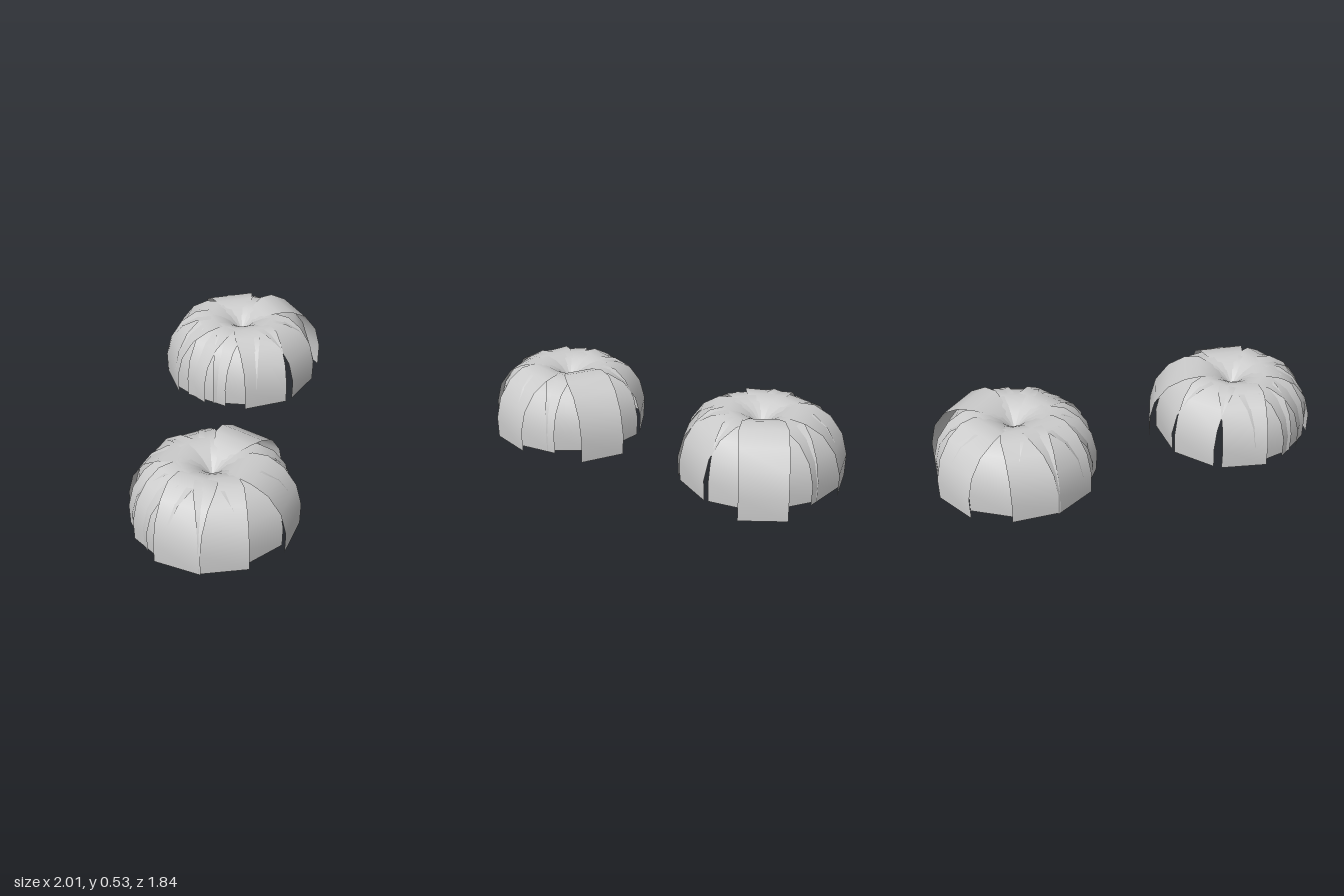
import * as THREE from 'three';

const material = new THREE.MeshStandardMaterial({ color: 0xcccccc, side: THREE.DoubleSide });

// Bent strip: [distance from centre, height above the dimple, width]
const PROFILE = [
  [0, 0, 0.002], [0.03, 0.035, 0.04], [0.07, 0.075, 0.09], [0.12, 0.104, 0.16],
  [0.18, 0.12, 0.23], [0.26, 0.11, 0.265], [0.35, 0.058, 0.265],
  [0.42, -0.04, 0.265], [0.45, -0.16, 0.265], [0.445, -0.285, 0.265],
];

// Each petal: [direction in degrees, reach at the hem]
const PETALS = [
  [-13.7, 0.484], [10, 0.42], [38, 0.43], [62.3, 0.452], [93, 0.42], [123.9, 0.442],
  [155.5, 0.445], [181, 0.43], [197.8, 0.425], [222, 0.418], [247, 0.435],
  [-73.2, 0.433], [-36, 0.428],
];

const DIMPLE_HEIGHT = 0.31;

function petalGeometry(reach) {
  const s = reach / 0.445;
  const positions = [], index = [];
  PROFILE.forEach(([r, y, w], i) => {
    positions.push(r * s, y * s, -w / 2, r * s, y * s, w / 2);
    if (i > 0) {
      const a = 2 * (i - 1);
      index.push(a, a + 1, a + 2, a + 1, a + 3, a + 2);
    }
  });
  const geometry = new THREE.BufferGeometry();
  geometry.setAttribute('position', new THREE.Float32BufferAttribute(positions, 3));
  geometry.setIndex(index);
  geometry.computeVertexNormals();
  return geometry;
}

// Ring of overlapping petals; side = -1 mirrors the arrangement front to back
function petalDome(name, side) {
  const dome = new THREE.Group();
  dome.name = name;
  PETALS.forEach(([angle, reach], i) => {
    const petal = new THREE.Mesh(petalGeometry(reach), material);
    petal.name = `petal${i + 1}`;
    petal.rotation.y = -side * THREE.MathUtils.degToRad(angle);
    dome.add(petal);
  });
  return dome;
}

export function createModel() {
  const model = new THREE.Group();
  model.name = 'petalDomes';

  // Lower dome at the front
  const frontDome = petalDome('frontDome', 1);
  frontDome.position.set(-0.54, DIMPLE_HEIGHT, 0.455);

  // Raised, mirrored dome at the back
  const backDome = petalDome('backDome', -1);
  backDome.position.set(0.5, DIMPLE_HEIGHT + 0.085, -0.455);

  model.add(frontDome, backDome);
  return model;
}
